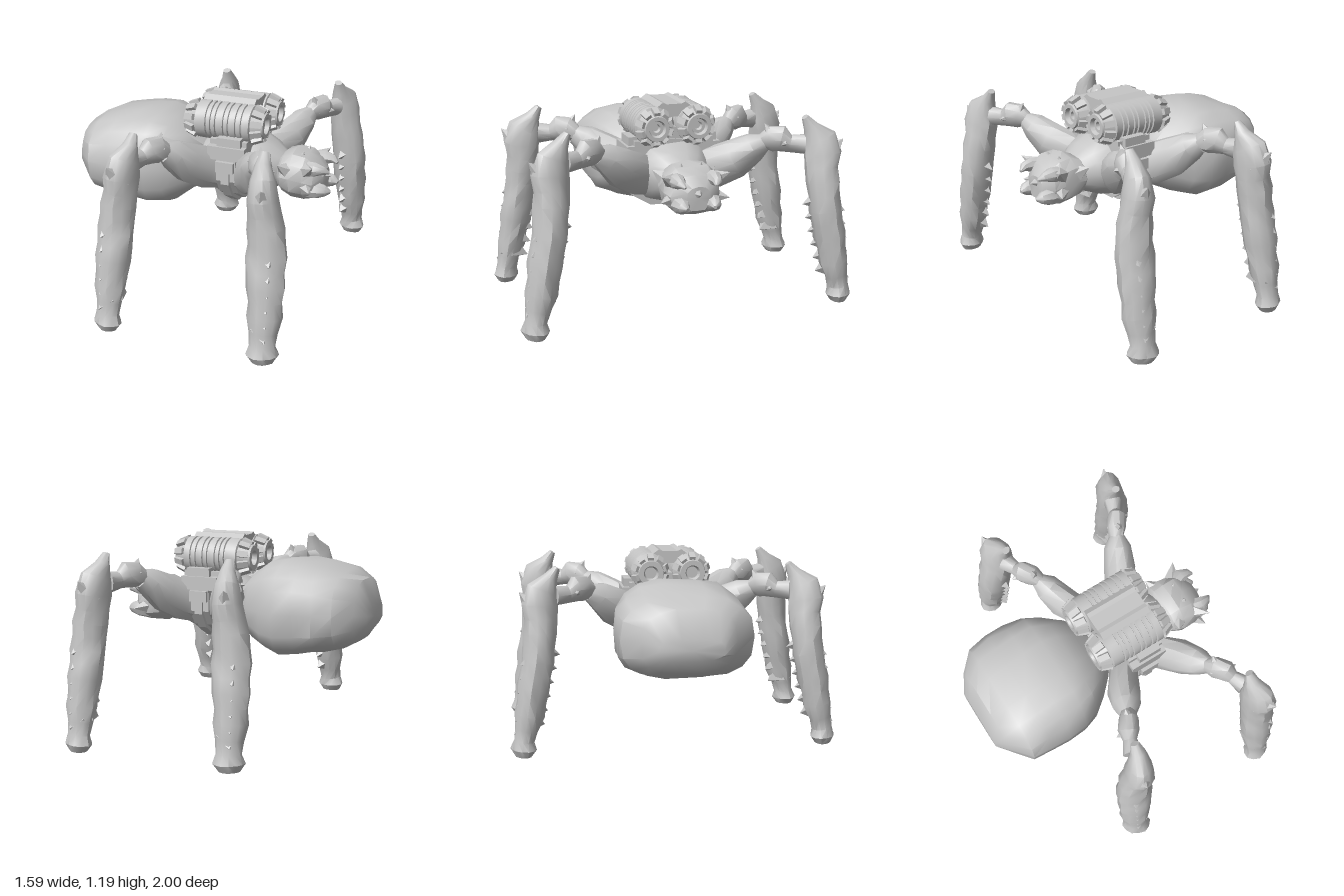
import * as THREE from 'three';
import { toCreasedNormals, mergeGeometries } from 'three/addons/utils/BufferGeometryUtils.js';

const V = (x, y, z) => new THREE.Vector3(x, y, z);
const grey = new THREE.MeshStandardMaterial({ color: 0xc6c6c6 });
grey.name = 'grey';

// small seeded noise in -1..1
const noise = (i, k) => {
  const s = Math.sin(i * 127.1 + k * 311.7) * 43758.5453;
  return (s - Math.floor(s)) * 2 - 1;
};

// closed loft through sections [x, y, z, halfSide, halfOther]; axis fixes the ring direction
function loft(sections, side, { n = 12, rough = 0, power = 1, axis = null } = {}) {
  const c = sections.map(s => V(s[0], s[1], s[2]));
  const pos = [], idx = [], last = c.length - 1;
  const pw = v => Math.sign(v) * Math.abs(v) ** power;
  c.forEach((p, i) => {
    const t = axis || c[Math.min(i + 1, last)].clone().sub(c[Math.max(i - 1, 0)]).normalize();
    const s = side.clone().addScaledVector(t, -side.dot(t)).normalize();
    const v = t.clone().cross(s);
    for (let k = 0; k < n; k++) {
      const a = k / n * Math.PI * 2, r = 1 + rough * noise(i, k);
      const q = p.clone().addScaledVector(s, sections[i][3] * r * pw(Math.cos(a)))
        .addScaledVector(v, sections[i][4] * r * pw(Math.sin(a)));
      pos.push(q.x, q.y, q.z);
      const k1 = (k + 1) % n;
      if (i < last) {
        const A = i * n + k, B = i * n + k1;
        idx.push(A, B, A + n, B, B + n, A + n);
      }
    }
  });
  const s0 = pos.length / 3;
  pos.push(...c[0].toArray(), ...c[last].toArray());
  for (let k = 0; k < n; k++) {
    const k1 = (k + 1) % n;
    idx.push(s0, k1, k, s0 + 1, last * n + k, last * n + k1);
  }
  const g = new THREE.BufferGeometry();
  g.setAttribute('position', new THREE.Float32BufferAttribute(pos, 3));
  g.setIndex(idx);
  return g;
}

// cone from base point to tip
function spike(base, tip, r, n = 6) {
  const d = V(...tip).sub(V(...base)), h = d.length();
  return new THREE.ConeGeometry(r, h, n).translate(0, h / 2, 0)
    .applyQuaternion(new THREE.Quaternion().setFromUnitVectors(V(0, 1, 0), d.normalize()))
    .translate(...base);
}

const box = (x0, x1, y0, y1, z0, z1) => new THREE.BoxGeometry(x1 - x0, y1 - y0, z1 - z0)
  .translate((x0 + x1) / 2, (y0 + y1) / 2, (z0 + z1) / 2);

// merge pieces into plain triangles
function join(list) {
  return mergeGeometries(list.map(g => {
    const h = g.index ? g.toNonIndexed() : g.clone();
    for (const k of Object.keys(h.attributes)) if (k !== 'position') h.deleteAttribute(k);
    h.clearGroups();
    return h;
  }));
}

// reflect one axis about a plane and restore the corner order
function reflect(geo, axis, plane = 0) {
  const g = geo.clone(), p = g.attributes.position;
  for (let i = 0; i < p.count; i++) p.setComponent(i, axis, 2 * plane - p.getComponent(i, axis));
  for (let i = 0; i < p.count; i += 3) for (let a = 0; a < 3; a++) {
    const t = p.getComponent(i + 1, a);
    p.setComponent(i + 1, a, p.getComponent(i + 2, a));
    p.setComponent(i + 2, a, t);
  }
  return g;
}

// extrude a z-y outline along x
function extrudeX(points, x0, x1) {
  const shape = new THREE.Shape(points.map(([z, y]) => new THREE.Vector2(-z, y)));
  return new THREE.ExtrudeGeometry(shape, { depth: x1 - x0, bevelEnabled: false })
    .rotateY(Math.PI / 2).translate(x0, 0, 0);
}

export function createModel() {
  const model = new THREE.Group();
  model.name = 'spiderRobot';
  const add = (name, geo, crease = 0.7) => {
    const m = new THREE.Mesh(toCreasedNormals(geo, crease), grey);
    m.name = name;
    model.add(m);
  };
  const pair = (name, geo, crease) => {
    add(name + 'Left', reflect(geo, 2), crease);
    add(name + 'Right', geo, crease);
  };
  const X = V(1, 0, 0), Z = V(0, 0, 1);

  // abdomen, thorax and head, lofted from back to front
  add('abdomen', join([loft([
    [-0.795, 0.735, 0, 0.19, 0.06], [-0.74, 0.775, 0, 0.27, 0.18], [-0.64, 0.775, 0, 0.375, 0.23],
    [-0.52, 0.775, 0, 0.385, 0.26], [-0.4, 0.775, 0, 0.385, 0.28], [-0.28, 0.77, 0, 0.38, 0.285],
    [-0.18, 0.77, 0, 0.335, 0.265], [-0.08, 0.77, 0, 0.26, 0.2], [0.01, 0.76, 0, 0.17, 0.13]],
  Z, { n: 18, rough: 0.035, power: 0.72, axis: X })]), 0.8);
  add('thorax', join([loft([
    [-0.06, 0.77, 0, 0.13, 0.1], [0.04, 0.78, 0, 0.19, 0.15], [0.13, 0.78, 0, 0.23, 0.185],
    [0.22, 0.78, 0, 0.24, 0.195], [0.33, 0.78, 0, 0.225, 0.18], [0.42, 0.78, 0, 0.17, 0.14],
    [0.49, 0.77, 0, 0.11, 0.1]], Z, { n: 14, rough: 0.04, power: 0.85, axis: X })]), 0.8);
  add('head', join([loft([
    [0.45, 0.76, 0, 0.09, 0.08], [0.5, 0.765, 0, 0.16, 0.12], [0.56, 0.765, 0, 0.165, 0.145],
    [0.64, 0.755, 0, 0.165, 0.14], [0.7, 0.74, 0, 0.14, 0.115], [0.745, 0.73, 0, 0.07, 0.07]],
  Z, { n: 12, rough: 0.07, power: 0.85, axis: X })]), 0.6);

  // cheek spikes, horns and jaws
  const cheeks = [[[0.63, 0.8, 0.09], [0.71, 0.86, 0.2], 0.07], [[0.55, 0.79, 0.1], [0.5, 0.85, 0.19], 0.075],
    [[0.63, 0.72, 0.09], [0.7, 0.71, 0.205], 0.07], [[0.6, 0.83, 0.05], [0.62, 0.91, 0.06], 0.05]];
  pair('cheekSpikes', join(cheeks.map(([b, t, r]) => spike(b, t, r, 5))), 0.3);
  pair('horn', join([loft([[0.63, 0.81, 0.09, 0.055, 0.055], [0.71, 0.83, 0.11, 0.045, 0.042],
    [0.755, 0.825, 0.105, 0.028, 0.026], [0.785, 0.81, 0.09, 0.008, 0.008]], Z, { n: 8 })]));
  pair('jaw', join([loft([[0.64, 0.69, 0.07, 0.06, 0.06], [0.72, 0.695, 0.095, 0.052, 0.05],
    [0.765, 0.695, 0.09, 0.036, 0.035], [0.795, 0.69, 0.08, 0.01, 0.01]], Z, { n: 8 })]));
  add('snout', join([spike([0.7, 0.76, 0], [0.78, 0.76, 0], 0.05)]), 0.3);

  // legs: one front leg is shaped, then mirrored to the rest
  const side = V(0.94, 0, -0.35);
  const thigh = join([loft([
    [0.27, 0.74, 0.12, 0.09, 0.11], [0.345, 0.8, 0.24, 0.09, 0.125], [0.415, 0.855, 0.35, 0.095, 0.115],
    [0.46, 0.93, 0.445, 0.08, 0.085], [0.485, 0.96, 0.5, 0.045, 0.055]], side, { n: 10, rough: 0.08 })]);
  const knee = join([
    loft([[0.475, 0.96, 0.48, 0.04, 0.04], [0.505, 0.985, 0.53, 0.06, 0.075], [0.54, 0.985, 0.585, 0.06, 0.075],
      [0.56, 0.96, 0.63, 0.04, 0.05], [0.59, 0.96, 0.71, 0.055, 0.06]], side, { n: 10, rough: 0.1 }),
    spike([0.51, 0.99, 0.54], [0.505, 1.075, 0.49], 0.06, 5), spike([0.535, 0.98, 0.57], [0.54, 1.06, 0.59], 0.055, 5),
    spike([0.54, 0.97, 0.58], [0.62, 0.97, 0.58], 0.05, 5)]);
  const shin = loft([
    [0.605, 1.12, 0.695, 0.025, 0.02], [0.608, 1.06, 0.735, 0.045, 0.045], [0.62, 0.99, 0.78, 0.068, 0.1],
    [0.63, 0.9, 0.805, 0.085, 0.11], [0.64, 0.82, 0.8, 0.088, 0.098], [0.655, 0.74, 0.805, 0.1, 0.1],
    [0.66, 0.66, 0.81, 0.102, 0.092], [0.668, 0.58, 0.82, 0.11, 0.098], [0.67, 0.5, 0.835, 0.102, 0.092],
    [0.675, 0.42, 0.85, 0.107, 0.097], [0.68, 0.34, 0.865, 0.095, 0.085], [0.685, 0.26, 0.88, 0.095, 0.085],
    [0.685, 0.17, 0.9, 0.08, 0.066], [0.687, 0.1, 0.915, 0.07, 0.06],
    [0.69, 0.05, 0.92, 0.088, 0.075], [0.69, 0.008, 0.92, 0.06, 0.05]], side, { n: 12, rough: 0.06 });
  // shoulder point and saw teeth along the inner and outer edges
  const teeth = [spike([0.64, 0.89, 0.83], [0.66, 0.99, 0.92], 0.08, 5)];
  for (let i = 0; i < 6; i++) {
    const y = 0.64 - i * 0.085, z = 0.815 + i * 0.015, w = 0.1 - i * 0.005;
    teeth.push(spike([0.66, y, z - 0.02], [0.63, y - 0.035, z - w - 0.025], 0.075, 4));
    teeth.push(spike([0.68, y - 0.04, z + 0.02], [0.715, y - 0.07, z + w + 0.01], 0.075, 4));
  }
  const calf = join([shin, ...teeth]);
  for (const [part, geo] of [['Thigh', thigh], ['Knee', knee], ['Shin', calf]]) {
    pair('front' + part, geo);
    pair('back' + part, reflect(geo, 0, part === 'Shin' ? 0.22 : 0.207));
  }

  // twin canisters: ribbed barrel, tapered ends with a recess
  const profile = [[0, -0.05], [0.035, -0.05], [0.045, -0.08], [0.075, -0.08], [0.1, -0.005], [0.112, 0]];
  for (const x of [0.065, 0.095, 0.125, 0.175, 0.205, 0.25, 0.285]) {
    profile.push([0.114, x], [0.105, x + 0.003], [0.105, x + 0.009], [0.114, x + 0.012]);
  }
  profile.push([0.114, 0.335], [0.1, 0.34], [0.072, 0.41], [0.05, 0.41], [0.042, 0.385], [0.025, 0.385], [0.02, 0.36], [0, 0.36]);
  const parts = [new THREE.LatheGeometry(profile.map(p => new THREE.Vector2(...p)), 24).rotateZ(-Math.PI / 2)];
  // ring the ends with blocks
  for (let i = 0; i < 10; i++) {
    for (const [x, tilt] of [[-0.04, 0.38], [0.372, -0.4]]) {
      parts.push(new THREE.BoxGeometry(0.065, 0.025, 0.036).rotateZ(tilt)
        .translate(x, 0.095, 0).rotateX(i / 10 * Math.PI * 2));
    }
  }
  pair('canister', join(parts.map(g => g.translate(0, 1.06, 0.127))), 0.5);

  // bridge over and block between the canisters
  add('bridge', join([extrudeX([[-0.02, 1.11], [0.02, 1.11], [0.11, 1.165], [0.07, 1.195], [0.045, 1.185],
    [-0.045, 1.185], [-0.07, 1.195], [-0.11, 1.165]], 0.005, 0.325), box(0.02, 0.32, 0.93, 1.05, -0.06, 0.06)]), 0.3);

  // saddle under the canisters
  add('saddle', join([box(0.1, 0.33, 0.87, 0.98, -0.24, 0.24), box(0.155, 0.3, 0.9, 1.0, -0.27, 0.27)]), 0.3);
  pair('saddleClamp', join([box(0.1, 0.33, 0.87, 0.95, 0.2, 0.285), box(0.16, 0.27, 0.8, 0.865, 0.2, 0.305)]), 0.3);

  // strap wrapping under the thorax, with a raised middle rib
  const strap = (o, x0, x1) => {
    const outer = [[0.28, 0.87], [0.28, 0.74], [0.22, 0.65], [0.1, 0.58]].map(([z, y]) => [z + o, y - o]);
    const inner = [[0.08, 0.62], [0.18, 0.68], [0.22, 0.75], [0.22, 0.87]];
    const flip = a => a.map(([z, y]) => [-z, y]).reverse();
    return extrudeX([...outer, ...flip(outer), ...flip(inner), ...inner], x0, x1);
  };
  add('strap', join([strap(0, 0.155, 0.275), strap(0.015, 0.19, 0.24)]), 0.3);
  return model;
}
